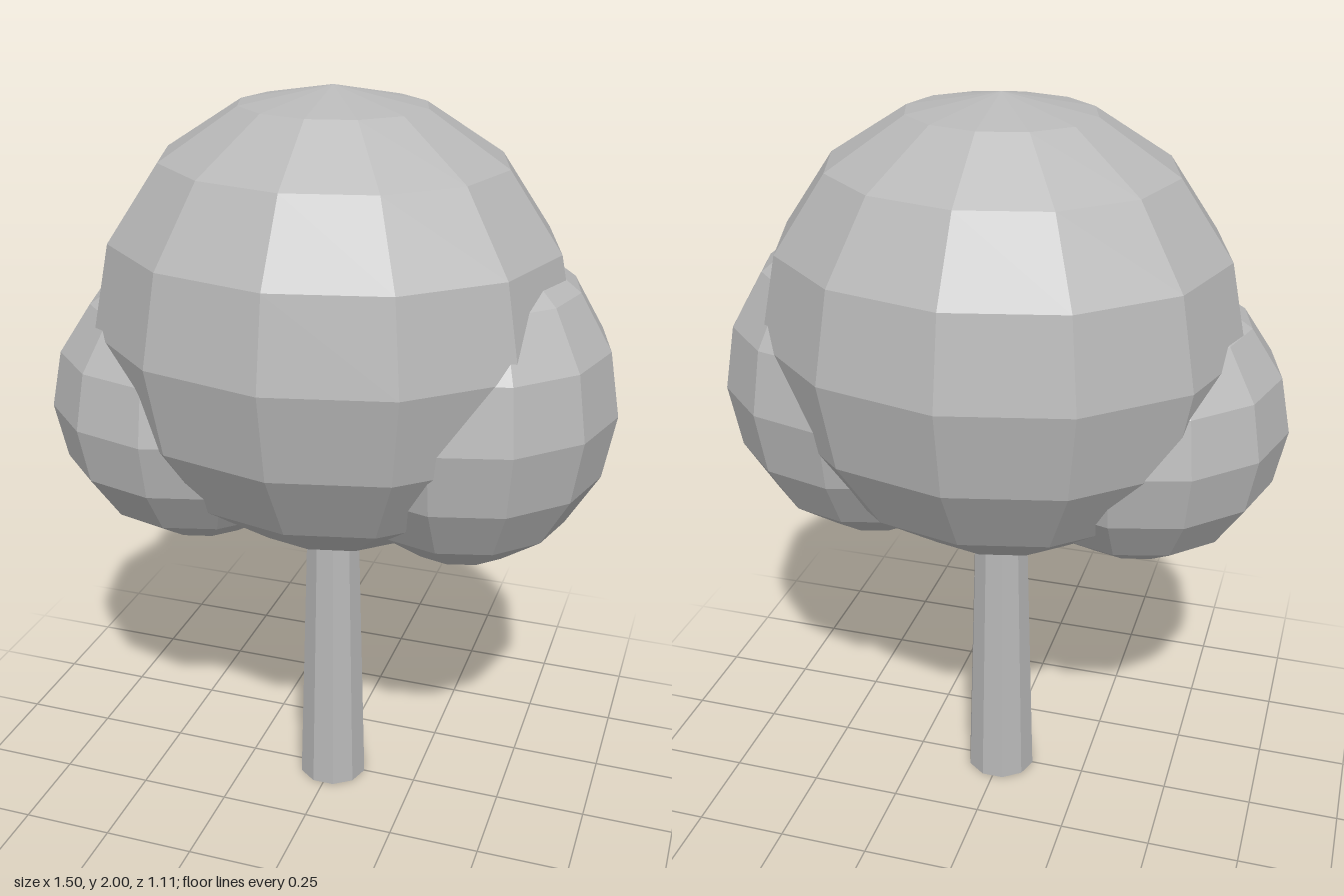
import * as THREE from 'three';

export function createModel() {
  const tree = new THREE.Group();
  tree.name = 'tree';
  const grey = new THREE.MeshStandardMaterial({ color: 0xb8b8b8, flatShading: true });
  grey.name = 'grey';

  const add = (name, geometry, x, y, z) => {
    const mesh = new THREE.Mesh(geometry, grey);
    mesh.name = name;
    mesh.position.set(x, y, z);
    tree.add(mesh);
  };

  // Tapered ten-sided trunk, running up into the crown
  const trunkHeight = 1.0;
  const trunk = new THREE.CylinderGeometry(0.069, 0.098, trunkHeight, 10).rotateY(Math.PI / 2);
  add('trunk', trunk, 0, trunkHeight / 2, 0);

  // Foliage: stretched low-poly spheres [name, centre, radii]
  const foliage = [
    ['mainCrown', [0, 1.395, 0], [0.63, 0.605, 0.555]],
    ['leftFoliage', [0.358, 1.225, -0.003], [0.39, 0.44, 0.39]],
    ['rightFoliage', [-0.36, 1.17, 0.055], [0.39, 0.385, 0.387]],
  ];
  for (const [name, centre, radii] of foliage) {
    add(name, new THREE.SphereGeometry(1, 12, 8).scale(...radii), ...centre);
  }

  return tree;
}
